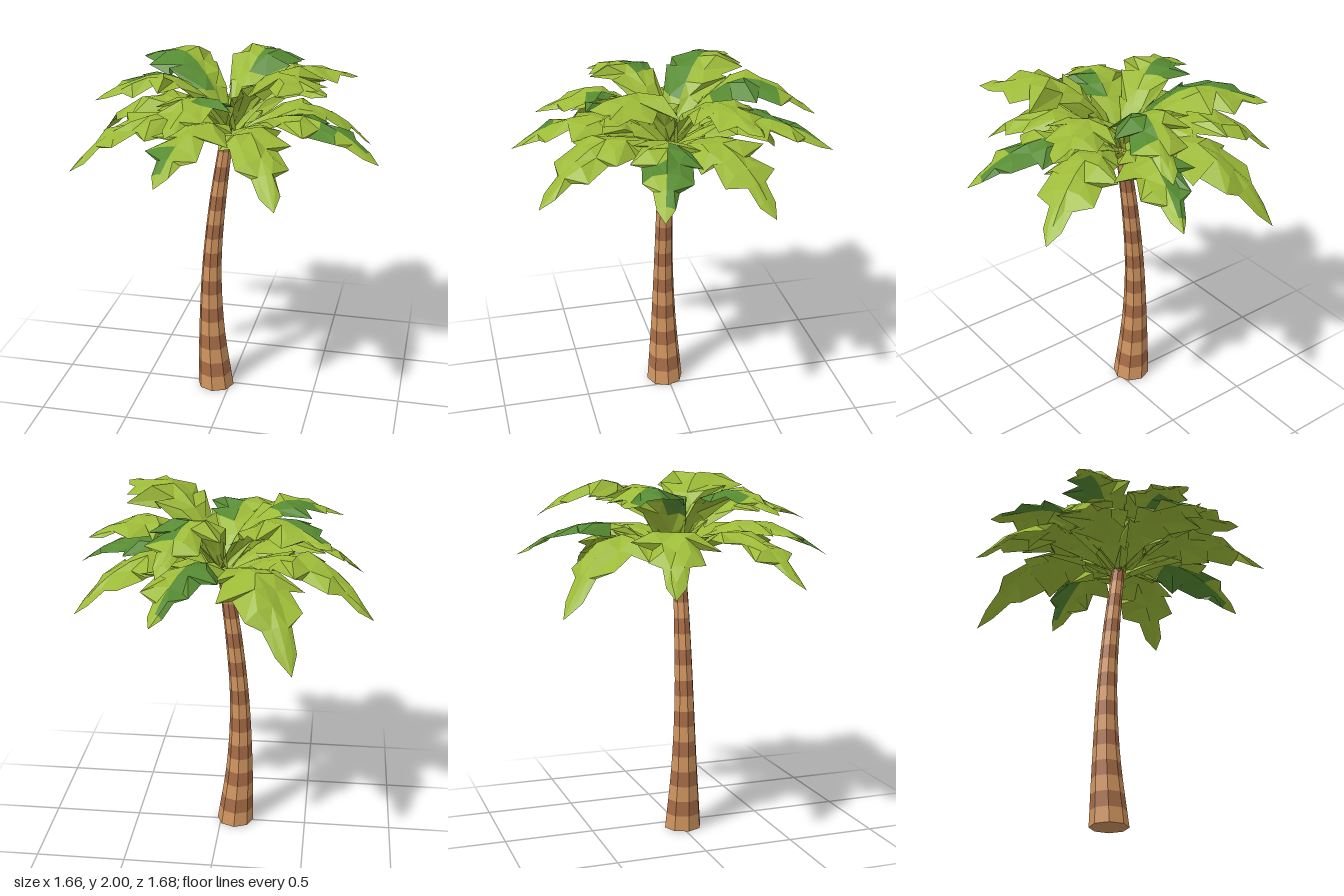
import * as THREE from 'three';
import { mergeGeometries } from 'three/addons/utils/BufferGeometryUtils.js';

const V = (x, y, z) => new THREE.Vector3(x, y, z);

function material(name, color, side = THREE.FrontSide) {
  const m = new THREE.MeshStandardMaterial({ color, flatShading: true, side });
  m.name = name;
  return m;
}

// Small seeded random, from -1 to 1
let seed = 7;
function rnd() {
  seed = (seed * 16807) % 2147483647;
  return (seed / 2147483647) * 2 - 1;
}

// Curved, tapering trunk in alternating bands; each curve point is (centre x, y, radius)
function buildTrunk(light, dark) {
  const BANDS = 18;
  const curve = new THREE.CatmullRomCurve3([
    V(-0.085, 0, 0.107), V(-0.108, 0.39, 0.075), V(-0.105, 0.78, 0.056),
    V(-0.07, 1.17, 0.047), V(-0.016, 1.56, 0.037),
  ]);
  const sets = [[], []];
  for (let i = 0; i < BANDS; i++) {
    const capped = i === 0 || i === BANDS - 1;
    const g = new THREE.CylinderGeometry(1, 1, 1, 8, 1, !capped);
    const p = g.attributes.position;
    for (let k = 0; k < p.count; k++) {
      const c = curve.getPoint((i + p.getY(k) + 0.5) / BANDS);
      p.setXYZ(k, c.x + p.getX(k) * c.z, c.y, 0.014 + p.getZ(k) * c.z);
    }
    g.computeVertexNormals();
    sets[i % 2].push(g);
  }
  const trunk = new THREE.Group();
  trunk.name = 'trunk';
  [['lightBands', light], ['darkBands', dark]].forEach(([name, mat], i) => {
    const mesh = new THREE.Mesh(mergeGeometries(sets[i]), mat);
    mesh.name = name;
    trunk.add(mesh);
  });
  return trunk;
}

// One half of a frond: rows of spine, middle and jagged edge points.
// Rows between dark[0] and dark[1] along the spine take the second material.
function halfFrond(spine, across, sign, width, dark) {
  const ROWS = 10;
  const pos = [], index = [];
  for (let i = 0; i <= ROWS; i++) {
    const t = i / ROWS;
    const w = width * Math.min(1, 0.35 + 1.5 * t) * Math.min(1, (1 - t) / 0.45);
    const long = i % 2 === 1;
    const reach = w * (long ? 1.15 : 0.74) * (1 + 0.14 * rnd());
    const up = V(0, 0, 0).crossVectors(spine.getTangent(t), across);
    if (up.y < 0) up.negate();
    const s = spine.getPoint(t);
    const mid = spine.getPoint(Math.min(1, t + 0.03 * (1 + rnd()) * (1 - t)))
      .addScaledVector(across, sign * reach * (0.5 + 0.12 * rnd()))
      .addScaledVector(up, w * (-0.06 + 0.14 * rnd()));
    const edge = spine.getPoint(t + (long ? 0.16 * (1 - t) : 0))
      .addScaledVector(across, sign * reach)
      .addScaledVector(up, w * (-0.26 + 0.16 * rnd()));
    for (const v of [s, mid, edge]) pos.push(v.x, v.y, v.z);
    if (i === ROWS) break;
    for (let c = 0; c < 2; c++) {
      const a = i * 3 + c, b = a + 1, d = a + 3, e = a + 4;
      const tris = (i + c) % 2 ? [a, b, e, a, e, d] : [a, b, d, b, e, d];
      if (sign > 0) tris.reverse();
      index.push(...tris);
    }
  }
  const indexed = new THREE.BufferGeometry();
  indexed.setAttribute('position', new THREE.Float32BufferAttribute(pos, 3));
  indexed.setIndex(index);
  const g = indexed.toNonIndexed();
  g.computeVertexNormals();
  for (let i = 0; i < ROWS; i++) {
    const t = (i + 0.5) / ROWS;
    g.addGroup(i * 12, 12, t > dark[0] && t < dark[1] ? 1 : 0);
  }
  return g;
}

// Arching frond from the crown to its tip; darkA and darkB are the dark ranges of its halves
function buildFrond(name, baseY, mats, [[x, y, z], peakY, width, darkA = [0, 0], darkB = [0, 0]]) {
  const at = (f, h) => V(x * f, h, z * f);
  const spine = new THREE.CatmullRomCurve3([
    at(0, baseY), at(0.22, baseY + 0.66 * (peakY - baseY)), at(0.5, peakY),
    at(0.78, peakY - 0.36 * (peakY - y)), at(1, y),
  ]);
  const across = V(-z, 0, x).normalize();
  const frond = new THREE.Group();
  frond.name = name;
  [[1, darkA, 'firstHalf'], [-1, darkB, 'secondHalf']].forEach(([sign, dark, half]) => {
    const mesh = new THREE.Mesh(halfFrond(spine, across, sign, width, dark), mats);
    mesh.name = half;
    frond.add(mesh);
  });
  return frond;
}

export function createModel() {
  seed = 7;
  const lightBark = material('lightBark', 0xd0945f);
  const darkBark = material('darkBark', 0xa66c46);
  const leaf = [
    material('lightLeaf', 0x9cba38, THREE.DoubleSide),
    material('darkLeaf', 0x568a32, THREE.DoubleSide),
  ];

  const palm = new THREE.Group();
  palm.name = 'palmTree';
  palm.add(buildTrunk(lightBark, darkBark));

  // Lower fronds: tip, peak height, half width, dark ranges of the two halves
  const lower = [
    [[-0.83, 1.43, -0.29], 1.72, 0.19],
    [[-0.78, 1.44, 0.43], 1.71, 0.18],
    [[-0.2, 1.54, 0.84], 1.74, 0.18, [0.7, 0.9]],
    [[0.38, 1.44, 0.77], 1.71, 0.19],
    [[0.83, 1.52, 0.22], 1.73, 0.18, [0.6, 0.7], [0.4, 0.9]],
    [[0.74, 1.43, -0.37], 1.71, 0.19],
    [[0.26, 1.56, -0.84], 1.74, 0.18, [0, 0], [0.4, 0.9]],
    [[-0.43, 1.3, -0.75], 1.7, 0.23],
  ];
  // Upper fronds, steeper and shorter
  const upper = [
    [[0.58, 1.94, 0.46], 1.99, 0.21],
    [[-0.18, 1.75, 0.7], 1.87, 0.17, [0, 0], [0.3, 0.6]],
    [[-0.65, 1.81, 0.33], 1.93, 0.17, [0.4, 0.7]],
    [[-0.6, 1.86, -0.47], 1.95, 0.2, [0, 0], [0.2, 0.9]],
    [[0.24, 1.77, -0.73], 1.96, 0.18, [0.3, 0.7]],
    [[0.65, 1.84, -0.32], 1.92, 0.18],
  ];
  lower.forEach((spec, i) => palm.add(buildFrond('lowerFrond' + (i + 1), 1.55, leaf, spec)));
  upper.forEach((spec, i) => palm.add(buildFrond('upperFrond' + (i + 1), 1.58, leaf, spec)));
  return palm;
}
